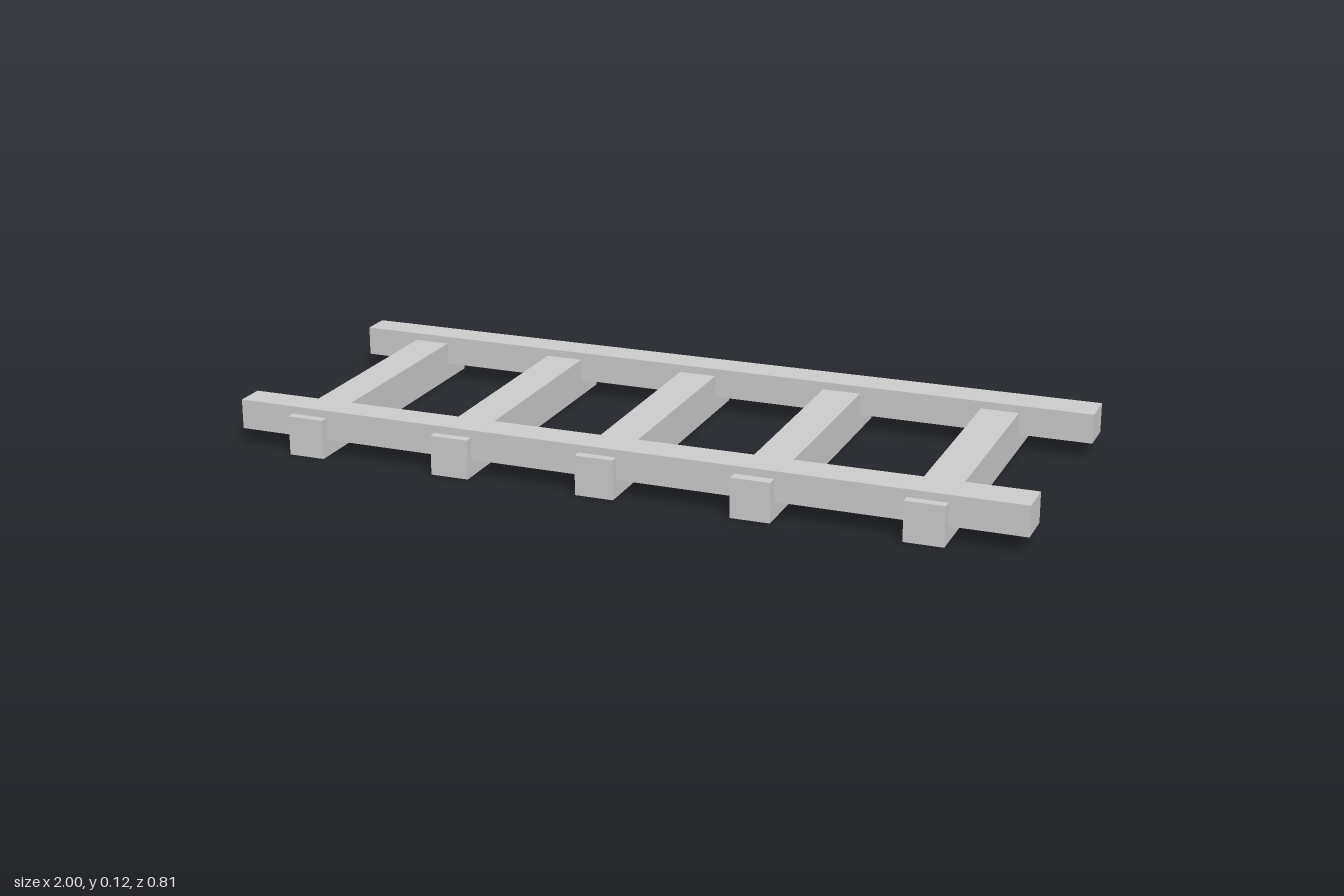
import * as THREE from 'three';

const material = new THREE.MeshStandardMaterial({ color: 0xcccccc, flatShading: true });

// Box between two x positions whose z range may differ at each end
function beam(name, x0, x1, y0, y1, zAtX0, zAtX1) {
  const geometry = new THREE.BoxGeometry(1, 1, 1);
  const p = geometry.attributes.position;
  for (let i = 0; i < p.count; i++) {
    const z = p.getX(i) < 0 ? zAtX0 : zAtX1;
    p.setXYZ(i, p.getX(i) < 0 ? x0 : x1, p.getY(i) < 0 ? y0 : y1, p.getZ(i) < 0 ? z[0] : z[1]);
  }
  geometry.computeVertexNormals();
  const mesh = new THREE.Mesh(geometry, material);
  mesh.name = name;
  return mesh;
}

export function createModel() {
  const group = new THREE.Group();
  group.name = 'trackSection';

  // Rails, slightly wider at the +x end
  group.add(beam('frontRail', -1, 1, 0.043, 0.118, [0.287, 0.363], [0.287, 0.383]));
  group.add(beam('backRail', -1, 1, 0.043, 0.118, [-0.384, -0.309], [-0.382, -0.286]));

  // Sleepers: left edge, right edge, front end
  const sleepers = [
    [-0.855, -0.762, 0.388],
    [-0.465, -0.368, 0.392],
    [-0.086, 0.011, 0.396],
    [0.305, 0.403, 0.405],
    [0.717, 0.814, 0.405],
  ];
  sleepers.forEach(([x0, x1, front], i) => {
    const z = [-0.405, front];
    group.add(beam(`sleeper${i + 1}`, x0, x1, 0, 0.099, z, z));
  });

  return group;
}
